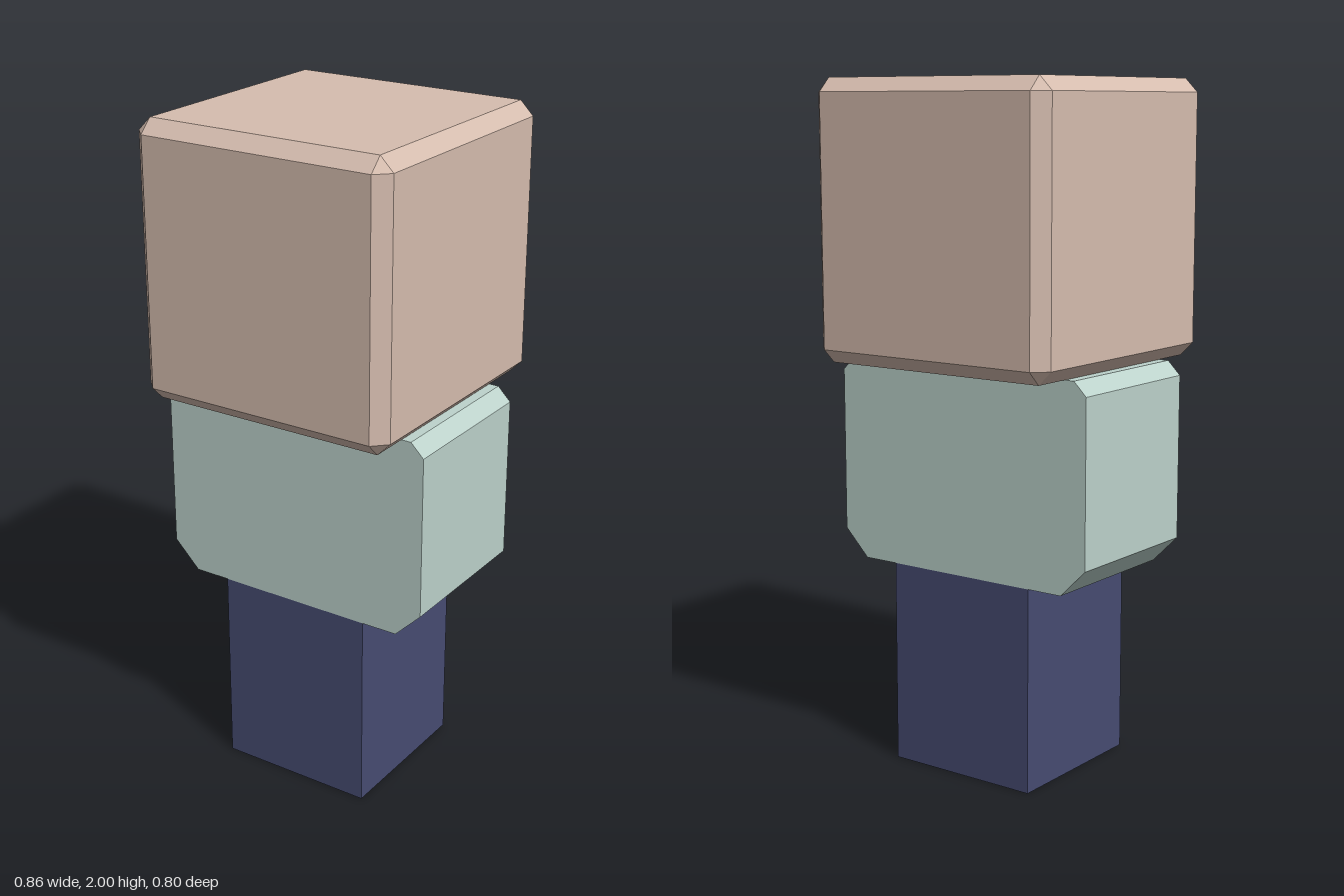
import * as THREE from 'three';
import { ConvexGeometry } from 'three/addons/geometries/ConvexGeometry.js';

function addPart(group, name, geometry, color, y) {
  const material = new THREE.MeshStandardMaterial({ color, flatShading: true });
  const mesh = new THREE.Mesh(geometry, material);
  mesh.name = name;
  mesh.position.y = y;
  group.add(mesh);
}

// Cube with all edges chamfered: three points around each corner
function chamferedCube(size, chamfer) {
  const outer = size / 2, inner = outer - chamfer;
  const points = [];
  for (const x of [-1, 1]) for (const y of [-1, 1]) for (const z of [-1, 1]) {
    points.push(
      new THREE.Vector3(x * outer, y * inner, z * inner),
      new THREE.Vector3(x * inner, y * outer, z * inner),
      new THREE.Vector3(x * inner, y * inner, z * outer));
  }
  return new ConvexGeometry(points);
}

// Slab with small shoulder cuts and larger waist cuts
function torsoGeometry() {
  const side = [[0.35, 0], [0.43, 0.08], [0.43, 0.56], [0.39, 0.6]];
  const mirrored = side.map(([x, y]) => [-x, y]).reverse();
  const outline = [...side, ...mirrored].map(([x, y]) => new THREE.Vector2(x, y));
  const geometry = new THREE.ExtrudeGeometry(new THREE.Shape(outline), { depth: 0.48, bevelEnabled: false });
  return geometry.translate(0, 0, -0.24);
}

export function createModel() {
  const group = new THREE.Group();
  group.name = 'blockFigure';
  addPart(group, 'legs', new THREE.BoxGeometry(0.48, 0.6, 0.48), 0x474c72, 0.3);
  addPart(group, 'torso', torsoGeometry(), 0xbdd3cc, 0.6);
  addPart(group, 'head', chamferedCube(0.8, 0.04), 0xd6bdaf, 1.6);
  return group;
}
